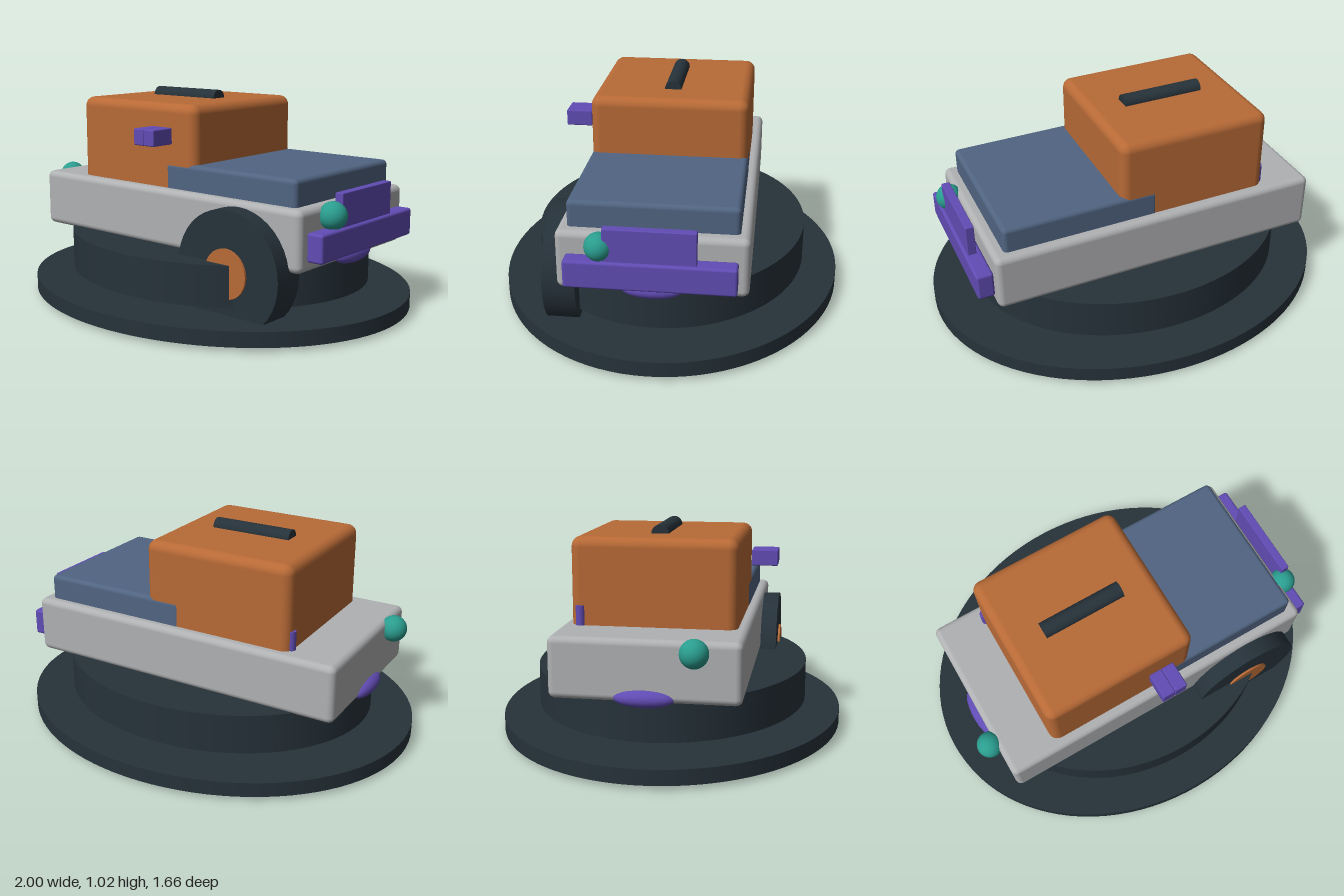
import * as THREE from 'three';
import { RoundedBoxGeometry } from 'three/addons/geometries/RoundedBoxGeometry.js';

const paint = (name, color) => {
  const m = new THREE.MeshStandardMaterial({ color });
  m.name = name;
  return m;
};

export function createModel() {
  const model = new THREE.Group();
  model.name = 'vehicleOnStand';
  const dark = paint('darkSlate', 0x26323a);
  const grey = paint('bodyGrey', 0xb0b1b3);
  const orange = paint('cabinOrange', 0xb86a36);
  const blue = paint('hoodBlue', 0x506481);
  const purple = paint('trimPurple', 0x614cb4);
  const teal = paint('lampTeal', 0x2a9d8f);

  const add = (name, geometry, material, x = 0, y = 0, z = 0) => {
    const mesh = new THREE.Mesh(geometry, material);
    mesh.name = name;
    mesh.position.set(x, y, z);
    model.add(mesh);
    return mesh;
  };
  // Rounded box given by its limits on each axis
  const block = (name, material, [x0, x1], [y0, y1], [z0, z1], r) =>
    add(name, new RoundedBoxGeometry(x1 - x0, y1 - y0, z1 - z0, 3, r), material,
      (x0 + x1) / 2, (y0 + y1) / 2, (z0 + z1) / 2);

  // Oval stand: a wide plate and a raised plinth
  const oval = (name, rx, rz, y0, y1) =>
    add(name, new THREE.CylinderGeometry(1, 1, y1 - y0, 96).scale(rx, 1, rz), dark, 0, (y0 + y1) / 2, 0);
  oval('standPlate', 1, 0.83, 0.02, 0.09);
  oval('standPlinth', 0.79, 0.66, 0.13, 0.32);

  // Body, cabin and hood
  block('body', grey, [-0.81, 0.805], [0.31, 0.585], [-0.42, 0.42], 0.03);
  block('cabin', orange, [-0.57, 0.18], [0.5, 0.98], [-0.373, 0.373], 0.045);
  block('hood', blue, [0, 0.75], [0.5, 0.705], [-0.375, 0.375], 0.022);

  // Roof bar
  add('roofBar', new THREE.CylinderGeometry(0.04, 0.04, 0.4, 24).rotateZ(Math.PI / 2), dark, -0.19, 0.98, 0);

  // Side mirror pair
  block('mirrorRear', purple, [-0.065, -0.003], [0.795, 0.872], [0.39, 0.515], 0.006);
  block('mirrorFront', purple, [-0.003, 0.06], [0.795, 0.872], [0.39, 0.515], 0.006);

  // Bumper and upright plate at the hood end
  block('bumper', purple, [0.805, 0.885], [0.36, 0.488], [-0.372, 0.372], 0.012);
  block('grillePlate', purple, [0.83, 0.87], [0.48, 0.638], [-0.2, 0.2], 0.004);

  // Short pipe on the cabin corner
  add('cornerPipe', new THREE.CylinderGeometry(0.022, 0.022, 0.12, 16), purple, -0.56, 0.615, -0.33);

  // Lamps and low bumps at both ends
  for (const side of [-1, 1]) {
    add('lamp', new THREE.SphereGeometry(0.063, 24, 16), teal, side * 0.835, 0.54, 0.22);
    add('lowerBump', new THREE.SphereGeometry(1, 16, 12).scale(0.045, 0.04, 0.135), purple, side * 0.8, 0.328, 0);
  }

  // Wheel and hub
  add('wheel', new THREE.CylinderGeometry(0.28, 0.28, 0.15, 40).rotateX(Math.PI / 2), dark, 0.475, 0.282, 0.425);
  add('wheelHub', new THREE.CylinderGeometry(0.113, 0.113, 0.03, 32).rotateX(Math.PI / 2), orange, 0.475, 0.278, 0.495);

  return model;
}
